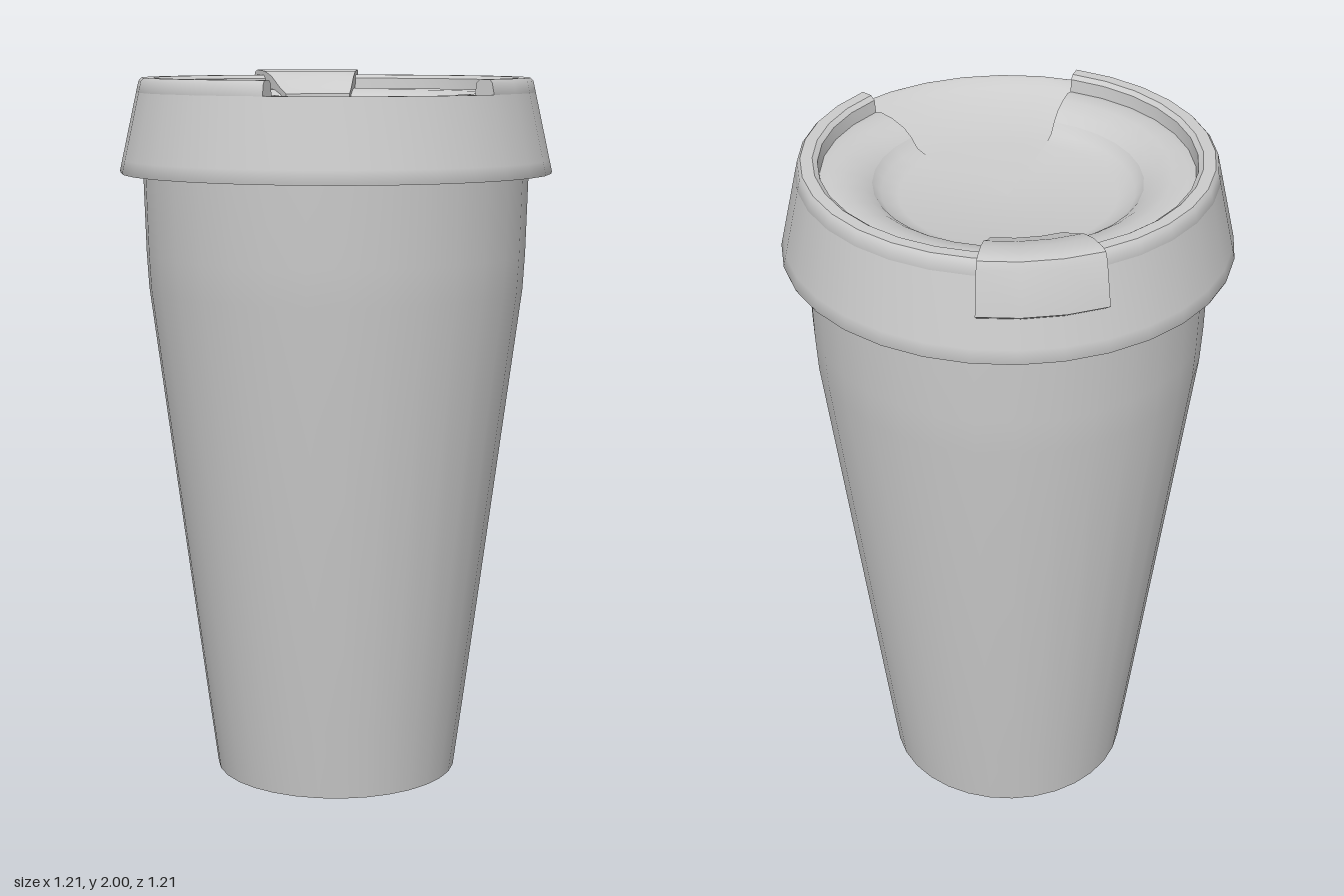
import * as THREE from 'three';
import { toCreasedNormals } from 'three/addons/utils/BufferGeometryUtils.js';

const SIDES = 32;
const rad = THREE.MathUtils.degToRad;
const vec = (pts) => pts.map(([r, y]) => new THREE.Vector2(r, y));

export function createModel() {
  const group = new THREE.Group();
  const material = new THREE.MeshStandardMaterial({ color: 0xcccccc, side: THREE.DoubleSide });

  function add(name, geometry) {
    const mesh = new THREE.Mesh(geometry, material);
    mesh.name = name;
    group.add(mesh);
    return mesh;
  }

  // Revolves a radius/height profile; angles are in degrees from the front (+z) towards +x
  function revolve(name, pts, start = 0, sweep = 360, crease = 35) {
    const segments = Math.max(3, Math.round((SIDES * sweep) / 360));
    const geometry = new THREE.LatheGeometry(vec(pts), segments, rad(start), rad(sweep));
    return add(name, toCreasedNormals(geometry, rad(crease)));
  }

  // A revolved sector with its two end faces closed
  function sector(name, pts, start, sweep) {
    revolve(name, pts, start, sweep);
    for (const angle of [start, start + sweep]) {
      const cap = new THREE.ShapeGeometry(new THREE.Shape(vec(pts)));
      cap.rotateY(rad(angle) - Math.PI / 2);
      add(name + 'End', cap);
    }
  }

  // Tapered cup with a flat base
  revolve('cup', [
    [0, 0], [0.345, 0], [0.372, 0.2], [0.528, 1.4], [0.534, 1.5], [0.541, 1.74],
  ]);

  // Lid skirt, all the way round up to the height of the drinking lip
  revolve('lidSkirt', [
    [0.53, 1.722], [0.603, 1.722], [0.605, 1.728], [0.598, 1.76], [0.557, 1.945],
  ]);

  // Raised rim and inner ring, left open at the front for drinking
  const gap = 34;
  sector('lidRim', [
    [0.54, 1.87], [0.557, 1.945], [0.55, 1.976], [0.542, 1.985], [0.51, 1.985], [0.497, 1.975],
    [0.493, 1.94], [0.47, 1.946], [0.43, 1.943], [0.385, 1.93], [0.357, 1.91], [0.35, 1.87],
  ], gap, 360 - 2 * gap);

  // Shallow bowl inside the ring
  revolve('lidBowl', [
    [0.357, 1.91], [0.335, 1.885], [0.29, 1.872], [0, 1.865],
  ], gap, 360 - 2 * gap, 60);

  // Drinking lip, sloping from the bowl out to the low front edge
  revolve('drinkingLip', [
    [0.557, 1.945], [0.54, 1.945], [0.515, 1.928], [0.44, 1.9], [0.357, 1.882], [0.29, 1.872], [0, 1.865],
  ], -gap, 2 * gap, 60);

  // Closing tab, folded over the back of the rim
  sector('lidTab', [
    [0.54, 1.84], [0.578, 1.838], [0.606, 1.858], [0.582, 1.975], [0.572, 1.995], [0.555, 2.0],
    [0.5, 1.996], [0.45, 1.982], [0.39, 1.95], [0.345, 1.932], [0.342, 1.9], [0.4, 1.9],
  ], 175 - 16, 32);

  return group;
}
